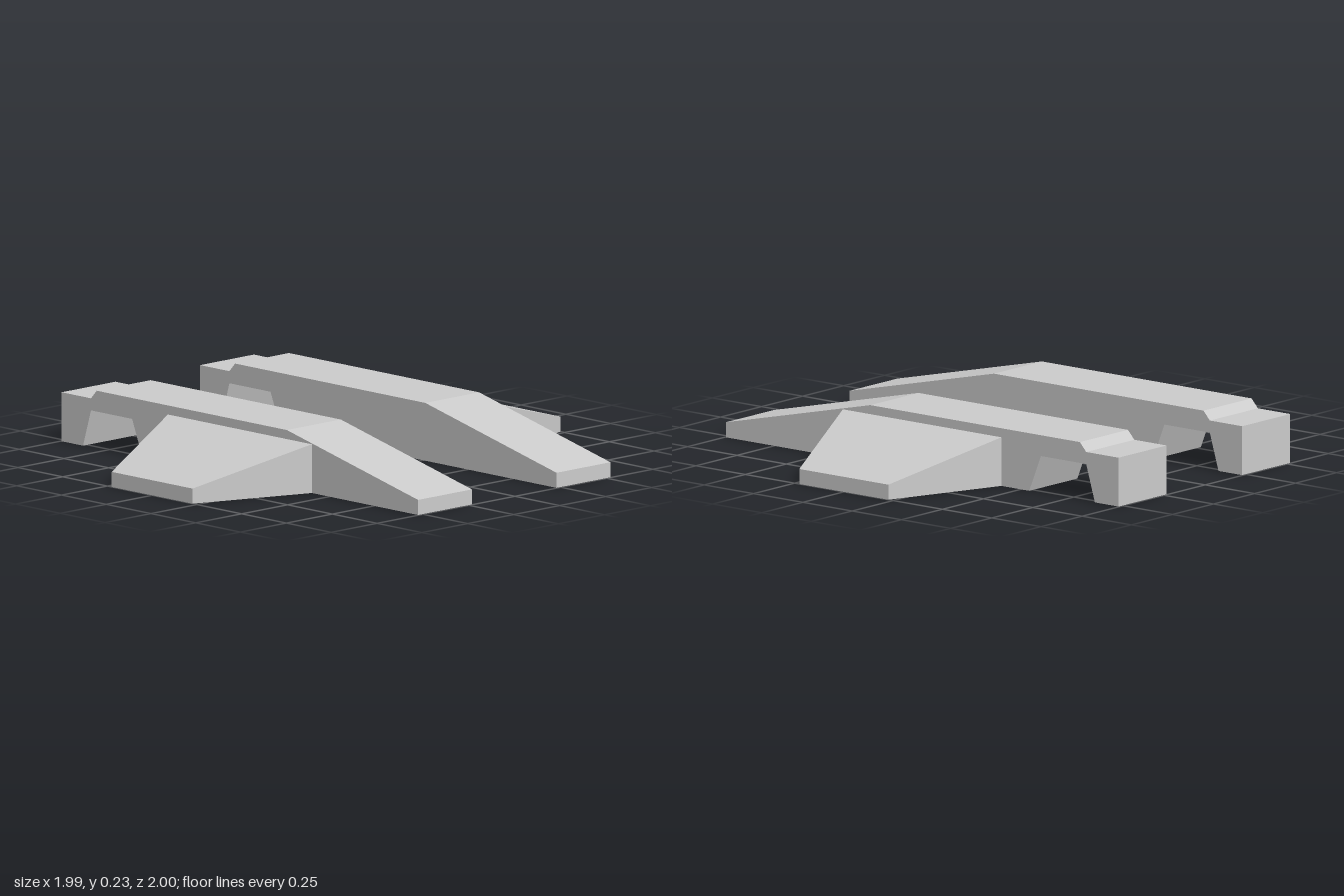
import * as THREE from 'three';

const material = new THREE.MeshStandardMaterial({ color: 0xcccccc, flatShading: true });
const INNER = 0.23, ROOT = 0.523, TIP = 1;

// Long beam: side profile with a notch near one end and a sloping toe
function beamGeometry() {
  const profile = [
    [-0.996, 0], [-0.876, 0], [-0.832, 0.147], [-0.602, 0.147], [-0.543, 0],
    [0.996, 0], [0.996, 0.06], [0.263, 0.23], [-0.8, 0.23], [-0.832, 0.195], [-0.996, 0.195],
  ];
  const shape = new THREE.Shape(profile.map(([x, y]) => new THREE.Vector2(x, y)));
  return new THREE.ExtrudeGeometry(shape, { depth: ROOT - INNER, bevelEnabled: false });
}

// Outrigger: a box tapered in width and height toward its outer tip
function outriggerGeometry() {
  const geometry = new THREE.BoxGeometry(1, 1, 1);
  const p = geometry.attributes.position;
  for (let i = 0; i < p.count; i++) {
    const outer = p.getZ(i) > 0;
    const halfWidth = outer ? 0.226 : 0.402;
    const height = outer ? 0.06 : 0.194;
    p.setXYZ(i, Math.sign(p.getX(i)) * halfWidth, p.getY(i) > 0 ? height : 0, outer ? TIP : ROOT);
  }
  geometry.computeVertexNormals();
  return geometry;
}

export function createModel() {
  const model = new THREE.Group();
  model.name = 'pairedRamps';
  const beam = beamGeometry();
  const outrigger = outriggerGeometry();

  // Matching front and back halves with a gap between them
  for (const side of [1, -1]) {
    const half = new THREE.Group();
    half.name = side > 0 ? 'frontRamp' : 'backRamp';

    const beamMesh = new THREE.Mesh(beam, material);
    beamMesh.name = 'beam';
    beamMesh.position.z = side > 0 ? INNER : -ROOT;

    const outriggerMesh = new THREE.Mesh(outrigger, material);
    outriggerMesh.name = 'outrigger';
    outriggerMesh.rotation.y = side > 0 ? 0 : Math.PI;

    half.add(beamMesh, outriggerMesh);
    model.add(half);
  }
  return model;
}
